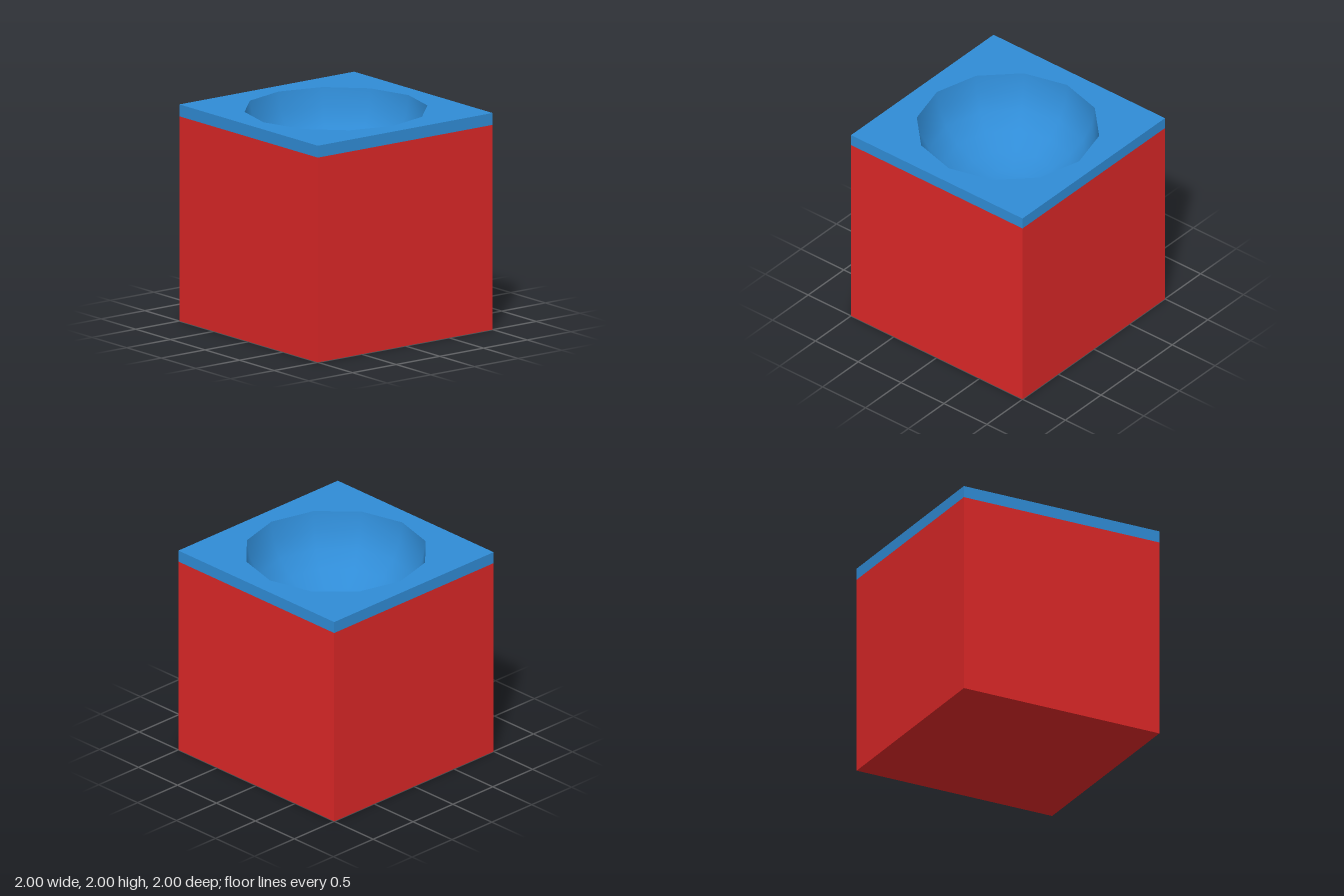
import * as THREE from 'three';
import { mergeVertices } from 'three/addons/utils/BufferGeometryUtils.js';

const HALF = 1, HEIGHT = 2, BAND_BASE = 1.89;
const BOWL_RADIUS = 0.83, BOWL_DEPTH = 0.66, SIDES = 12, RINGS = 6;

// Box from y0 to y1 with some of its faces left out (order: +x, -x, +y, -y, +z, -z)
function openBox(y0, y1, omitted) {
  const geometry = new THREE.BoxGeometry(2 * HALF, y1 - y0, 2 * HALF);
  const index = Array.from(geometry.index.array);
  geometry.setIndex(index.filter((_, i) => !omitted.includes(Math.floor(i / 6))));
  geometry.clearGroups();
  return geometry.translate(0, (y0 + y1) / 2, 0);
}

export function createModel() {
  const red = new THREE.MeshStandardMaterial({ color: 0xdb2727 });
  red.name = 'red';
  const blue = new THREE.MeshStandardMaterial({ color: 0x308cd6 });
  blue.name = 'blue';

  const model = new THREE.Group();
  model.name = 'hollowedCube';
  const add = (name, geometry, material) => {
    const mesh = new THREE.Mesh(geometry, material);
    mesh.name = name;
    model.add(mesh);
  };

  // Body and the band around its upper edge, open inside for the bowl
  add('body', openBox(0, BAND_BASE, [2]), red);
  add('topBand', openBox(BAND_BASE, HEIGHT, [2, 3]), blue);

  // Square top with a twelve-sided opening
  const top = new THREE.Shape([[-1, -1], [1, -1], [1, 1], [-1, 1]]
    .map(([x, y]) => new THREE.Vector2(x * HALF, y * HALF)));
  const rim = [];
  for (let i = 0; i < SIDES; i++) {
    const a = -i / SIDES * Math.PI * 2;
    rim.push(new THREE.Vector2(Math.cos(a), Math.sin(a)).multiplyScalar(BOWL_RADIUS));
  }
  top.holes.push(new THREE.Path(rim));
  add('topRim', new THREE.ShapeGeometry(top).rotateX(-Math.PI / 2).translate(0, HEIGHT, 0), blue);

  // Rounded bowl, its profile run from rim to bottom so it faces inward
  const profile = [];
  for (let i = 0; i <= RINGS; i++) {
    const a = i / RINGS * Math.PI / 2;
    const radius = i === RINGS ? 0 : BOWL_RADIUS * Math.cos(a);
    profile.push(new THREE.Vector2(radius, HEIGHT - BOWL_DEPTH * Math.sin(a)));
  }
  // Weld the seam and the bottom point so the shading is smooth throughout
  const lathe = new THREE.LatheGeometry(profile, SIDES);
  lathe.deleteAttribute('normal');
  lathe.deleteAttribute('uv');
  const bowl = mergeVertices(lathe);
  bowl.computeVertexNormals();
  add('bowl', bowl, blue);

  return model;
}
